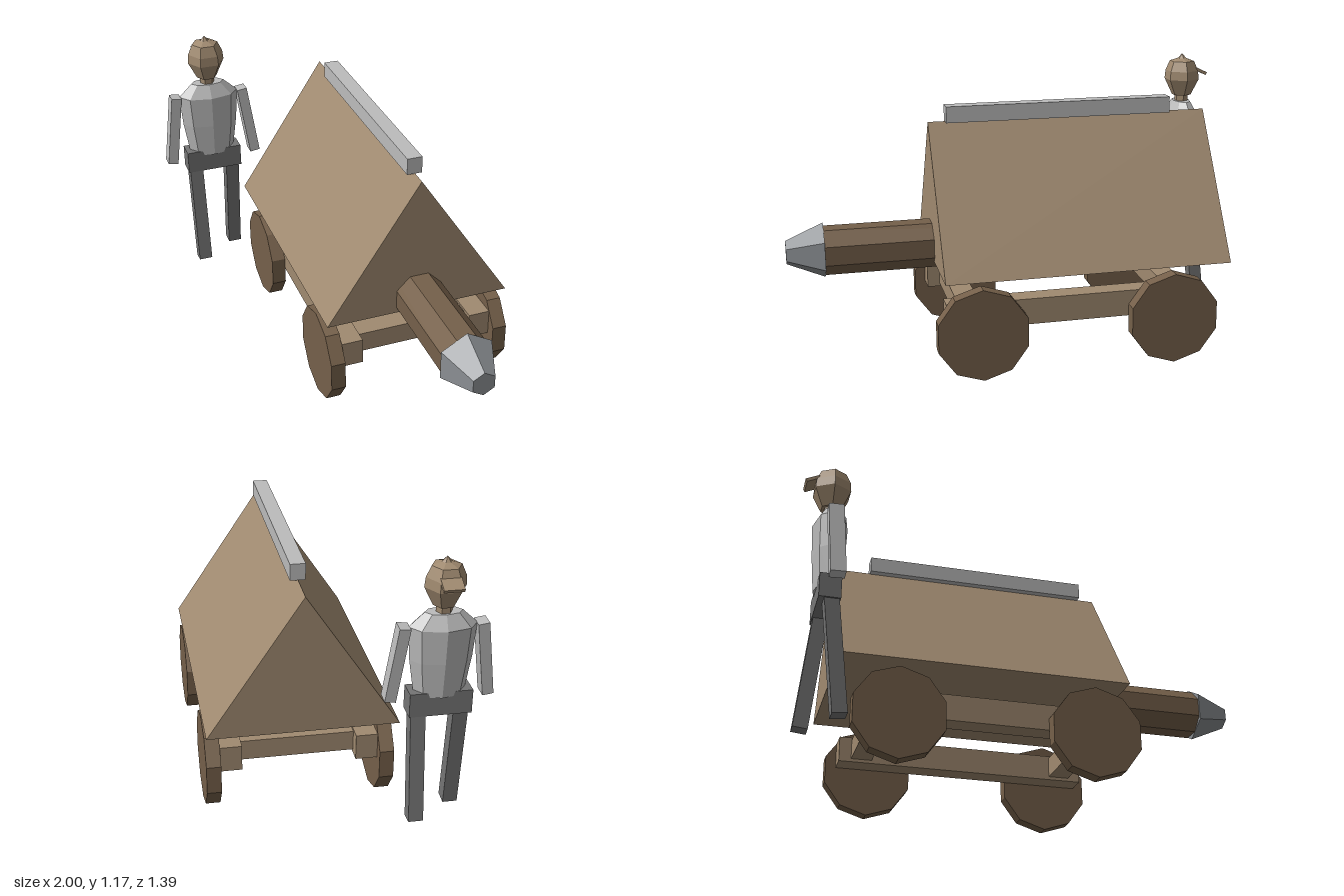
import * as THREE from 'three';

const mat = (name, color) => {
  const m = new THREE.MeshStandardMaterial({ color, flatShading: true });
  m.name = name;
  return m;
};

export function createModel() {
  const lightWood = mat('light wood', 0xa08a70);
  const darkWood = mat('dark wood', 0x75604a);
  const paleMetal = mat('pale grey', 0xbcbcbc);
  const iron = mat('iron', 0x8c9094);
  const trouser = mat('dark grey', 0x757575);

  const root = new THREE.Group();
  root.name = 'batteringRamAndSoldier';

  const add = (parent, name, geo, material, x = 0, y = 0, z = 0) => {
    const m = new THREE.Mesh(geo, material);
    m.name = name;
    m.position.set(x, y, z);
    parent.add(m);
    return m;
  };
  const box = (w, h, d) => new THREE.BoxGeometry(w, h, d);
  const lathe = (pts, n) =>
    new THREE.LatheGeometry(pts.map(([r, y]) => new THREE.Vector2(r, y)), n);

  // Everything shares one heading: local +x is the ram's travel direction
  const heading = new THREE.Group();
  heading.name = 'heading';
  heading.position.set(-0.015, 0, -0.031);
  heading.rotation.y = -THREE.MathUtils.degToRad(35);
  root.add(heading);

  // ---- Ram wagon ----
  const ram = new THREE.Group();
  ram.name = 'ramWagon';
  heading.add(ram);

  // Tent-shaped roof: triangle extruded along travel direction
  const tri = new THREE.Shape();
  tri.moveTo(-0.387, 0.422);
  tri.lineTo(0.387, 0.422);
  tri.lineTo(0, 1.003);
  tri.closePath();
  const roofGeo = new THREE.ExtrudeGeometry(tri, { depth: 1.2, bevelEnabled: false });
  roofGeo.translate(0, 0, -0.6);
  roofGeo.rotateY(Math.PI / 2);
  add(ram, 'roof', roofGeo, lightWood);
  add(ram, 'ridgeBeam', box(0.965, 0.068, 0.062), paleMetal, 0.045, 1.034, 0);

  // Log with a blunt metal head
  const logGeo = new THREE.CylinderGeometry(0.103, 0.103, 1.48, 8, 1, false, Math.PI / 8);
  logGeo.rotateZ(-Math.PI / 2);
  add(ram, 'log', logGeo, darkWood, 0.305, 0.485, 0);
  const headGeo = new THREE.CylinderGeometry(0.05, 0.118, 0.155, 6, 1, false, Math.PI / 6);
  headGeo.rotateZ(-Math.PI / 2);
  add(ram, 'ramHead', headGeo, iron, 1.123, 0.487, 0);

  // Chassis: rails, cross beams and wheels
  const chassis = new THREE.Group();
  chassis.name = 'chassis';
  chassis.position.x = 0.045;
  ram.add(chassis);
  const wheelGeo = new THREE.CylinderGeometry(0.194, 0.194, 0.06, 10);
  wheelGeo.rotateX(Math.PI / 2);
  for (const s of [-1, 1]) {
    add(chassis, 'sideRail', box(1.09, 0.11, 0.09), lightWood, 0, 0.26, s * 0.28);
    add(chassis, 'crossBeam', box(0.09, 0.086, 0.48), lightWood, s * 0.447, 0.262, 0);
    for (const e of [-1, 1]) {
      add(chassis, 'wheel', wheelGeo, darkWood, e * 0.405, 0.195, s * 0.355);
    }
  }

  // ---- Soldier, facing local -x ----
  const man = new THREE.Group();
  man.name = 'soldier';
  man.position.set(-0.685, 0, 0.51);
  heading.add(man);

  const torso = add(man, 'torso', lathe(
    [[0, 0.6], [0.75, 0.6], [0.92, 0.75], [1, 0.89], [0.55, 0.947], [0, 0.947]], 8), paleMetal);
  torso.scale.set(0.07, 1, 0.135);
  add(man, 'hips', box(0.085, 0.1, 0.25), trouser, 0, 0.57, 0);
  add(man, 'neck', new THREE.CylinderGeometry(0.032, 0.032, 0.06, 6), lightWood, 0, 0.965, 0);

  // Head with pointed cap and small brim
  add(man, 'head', lathe(
    [[0, 0.975], [0.045, 0.975], [0.082, 1.05], [0.078, 1.09], [0.058, 1.135],
      [0.02, 1.148], [0, 1.17]], 6), lightWood);
  const brim = add(man, 'brim', box(0.06, 0.014, 0.08), lightWood, -0.082, 1.088, 0);
  brim.rotation.z = 0.45;

  // Limb as a box stretched from one point to another
  const limb = (name, a, b, w, d, material) => {
    const A = new THREE.Vector3(...a), B = new THREE.Vector3(...b);
    const dir = B.clone().sub(A);
    const m = add(man, name, box(w, dir.length(), d), material);
    m.position.copy(A).add(B).multiplyScalar(0.5);
    m.quaternion.setFromUnitVectors(new THREE.Vector3(0, 1, 0), dir.normalize());
  };
  for (const s of [-1, 1]) {
    limb('arm', [0.015, 0.58, s * 0.195], [0, 0.895, s * 0.152], 0.06, 0.045, paleMetal);
    limb('leg', [s * 0.06, 0.062, s * 0.088], [0, 0.6, s * 0.088], 0.058, 0.06, trouser);
  }

  return root;
}
